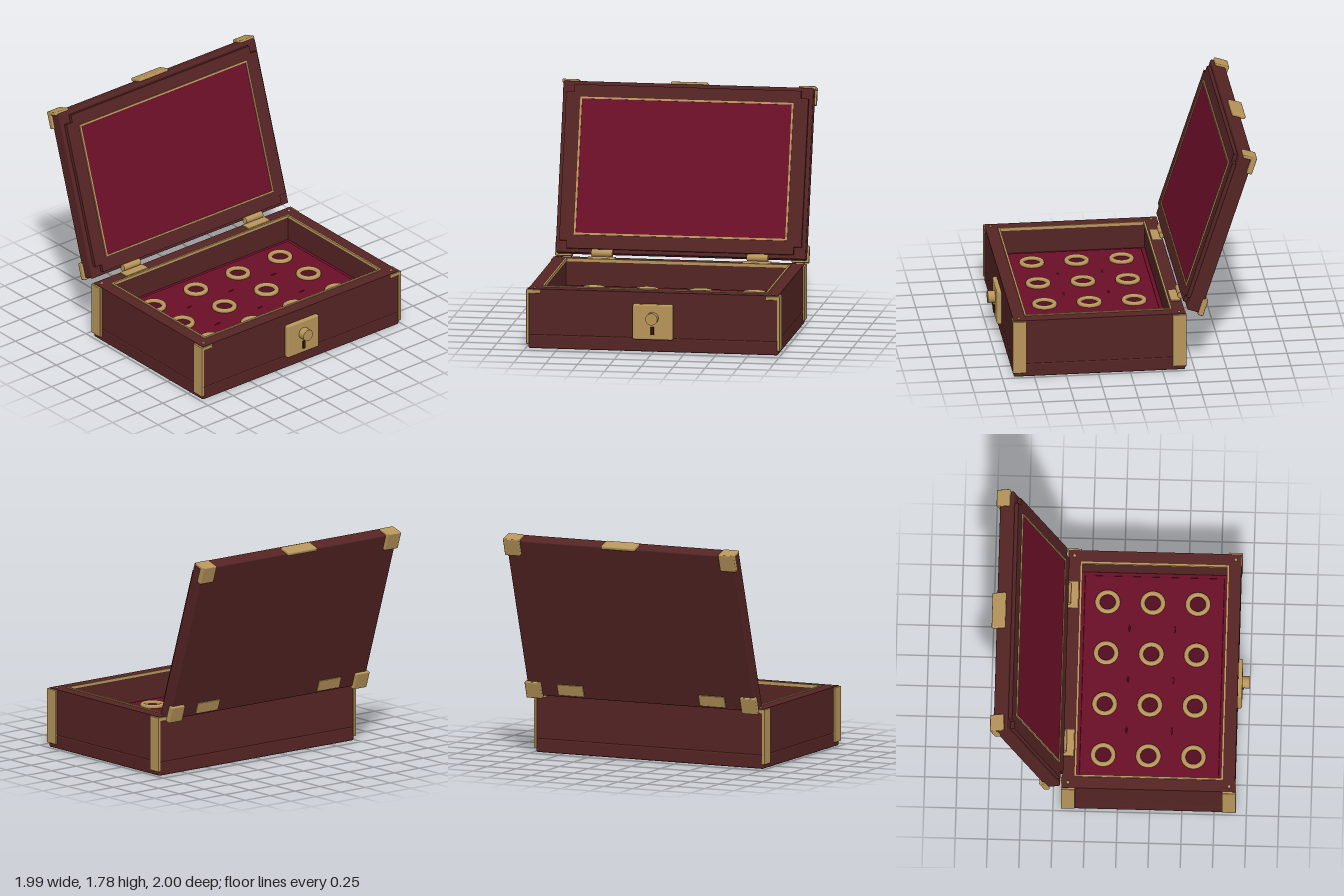
import * as THREE from 'three';
import { RoundedBoxGeometry } from 'three/addons/geometries/RoundedBoxGeometry.js';

const paint = (name, color) => {
  const m = new THREE.MeshStandardMaterial({ color });
  m.name = name;
  return m;
};

export function createModel() {
  const wood = paint('mahogany', 0x552424);
  const felt = paint('crimson felt', 0x6b0f27);
  const well = paint('dark felt', 0x520c20);
  const brass = paint('brass', 0xb8955a);
  const dark = paint('keyhole dark', 0x351416);

  const model = new THREE.Group();
  model.name = 'jewelleryBox';

  const add = (parent, name, geometry, material, x = 0, y = 0, z = 0) => {
    const mesh = new THREE.Mesh(geometry, material);
    mesh.name = name;
    mesh.position.set(x, y, z);
    parent.add(mesh);
    return mesh;
  };
  // Softened box given by its limits
  const box = (parent, name, material, x0, x1, y0, y1, z0, z1, r = 0.005) =>
    add(parent, name, new RoundedBoxGeometry(x1 - x0, y1 - y0, z1 - z0, 2, r), material,
      (x0 + x1) / 2, (y0 + y1) / 2, (z0 + z1) / 2);
  // Rectangular frame extruded along z
  const rectPoints = (w, h) => [[-w, -h], [w, -h], [w, h], [-w, h]].map(([x, y]) => new THREE.Vector2(x, y));
  const frame = (w, h, iw, ih, depth) => {
    const shape = new THREE.Shape(rectPoints(w, h));
    shape.holes.push(new THREE.Path(rectPoints(iw, ih).reverse()));
    return new THREE.ExtrudeGeometry(shape, { depth, bevelEnabled: false });
  };

  // ---- Base ----
  const base = new THREE.Group();
  base.name = 'base';
  model.add(base);
  const midZ = 0.24;
  box(base, 'plinth', wood, -0.98, 0.98, 0, 0.112, -0.43, 0.91, 0.014);
  add(base, 'walls', frame(0.98, 0.67, 0.88, 0.57, 0.36).rotateX(-Math.PI / 2), wood, 0, 0.11, midZ);
  add(base, 'rimTrim', frame(0.885, 0.575, 0.87, 0.56, 0.025).rotateX(-Math.PI / 2), brass, 0, 0.453, midZ);
  box(base, 'feltFloor', felt, -0.88, 0.88, 0.1, 0.26, -0.33, 0.81, 0.002);
  box(base, 'feltCushion', felt, -0.85, 0.85, 0.25, 0.27, -0.3, 0.78, 0.008);

  // Ring holders in a 4 by 3 grid, with tufts between them
  for (let row = 0; row < 3; row++) {
    const z = -0.12 + row * 0.35;
    for (let col = 0; col < 4; col++) {
      const x = -0.63 + col * 0.42;
      add(base, 'holderRing', new THREE.TorusGeometry(0.079, 0.019, 12, 40).rotateX(Math.PI / 2), brass, x, 0.28, z);
      add(base, 'holderWell', new THREE.CylinderGeometry(0.075, 0.075, 0.006, 32), well, x, 0.272, z);
      if (row < 2 && col < 3) {
        add(base, 'tuft', new THREE.SphereGeometry(1, 12, 8).scale(0.03, 0.006, 0.007), felt, x + 0.21, 0.27, z + 0.175);
      }
    }
  }

  // Corner fittings: side plate, cap under the rim and a screw
  for (const sx of [-1, 1]) {
    for (const sz of [-1, 1]) {
      const span = (a, b, s, c = 0) => (s > 0 ? [c + a, c + b] : [c - b, c - a]);
      const zs = span(0.57, 0.678, sz, midZ);
      box(base, 'cornerPlate', brass, ...span(0.972, 0.995, sx), 0.035, 0.466, ...zs);
      box(base, 'cornerCap', brass, ...span(0.885, 0.995, sx), 0.436, 0.466, ...zs);
      add(base, 'cornerScrew', new THREE.SphereGeometry(0.013, 16, 8).scale(1, 0.6, 1), brass,
        sx * 0.935, 0.47, midZ + sz * 0.625);
    }
  }

  // Lock
  box(base, 'lockPlate', brass, -0.157, 0.157, 0.1, 0.378, 0.9, 0.943, 0.012);
  add(base, 'lockKnob', new THREE.CylinderGeometry(0.047, 0.047, 0.07, 32).rotateX(Math.PI / 2), brass, 0, 0.273, 0.965);
  box(base, 'keyhole', dark, -0.013, 0.013, 0.14, 0.205, 0.935, 0.955, 0.005);

  // ---- Lid, hinged at the back and leaning open ----
  const lid = new THREE.Group();
  lid.name = 'lid';
  lid.position.set(0, 0.5, -0.442);
  lid.rotation.x = -Math.PI / 10;
  model.add(lid);
  box(lid, 'lidBody', wood, -0.98, 0.98, 0, 1.34, -0.112, 0, 0.012);

  // Raised inner lip with notched corners
  const [w, h, n] = [0.95, 0.64, 0.06];
  const lip = new THREE.Shape([
    [-w, -h + n], [-w + n, -h + n], [-w + n, -h], [w - n, -h], [w - n, -h + n], [w, -h + n],
    [w, h - n], [w - n, h - n], [w - n, h], [-w + n, h], [-w + n, h - n], [-w, h - n],
  ].map(([x, y]) => new THREE.Vector2(x, y)));
  add(lid, 'lidLip', new THREE.ExtrudeGeometry(lip, { depth: 0.032, bevelEnabled: false }), wood, 0, 0.67, -0.002);
  box(lid, 'lidPanel', felt, -0.825, 0.825, 0.148, 1.202, 0.02, 0.034, 0.002);
  add(lid, 'lidTrim', frame(0.836, 0.538, 0.822, 0.524, 0.012), brass, 0, 0.675, 0.028);

  for (const s of [-1, 1]) {
    const xs = s > 0 ? [0.86, 0.995] : [-0.995, -0.86];
    // Lid corner brackets
    box(lid, 'topBracketBack', brass, ...xs, 1.215, 1.357, -0.135, -0.09, 0.008);
    box(lid, 'topBracketCap', brass, ...xs, 1.33, 1.357, -0.135, -0.025, 0.008);
    box(lid, 'bottomBracketBack', brass, ...xs, -0.015, 0.12, -0.135, -0.09, 0.008);

    // Hinge: barrel, base leaf and lid leaf
    const hx = s * 0.61;
    add(model, 'hingeBarrel', new THREE.CylinderGeometry(0.028, 0.028, 0.165, 24).rotateZ(Math.PI / 2), brass, hx, 0.505, -0.43);
    box(model, 'hingeBaseLeaf', brass, hx - 0.11, hx + 0.11, 0.465, 0.478, -0.425, -0.345, 0.004);
    box(lid, 'hingeLidLeaf', brass, hx - 0.11, hx + 0.11, 0.02, 0.11, -0.118, -0.105, 0.004);
  }

  // Pull tab on the lid's upper edge
  box(lid, 'pullTab', brass, -0.145, 0.145, 1.333, 1.362, -0.145, -0.036, 0.01);

  return model;
}
